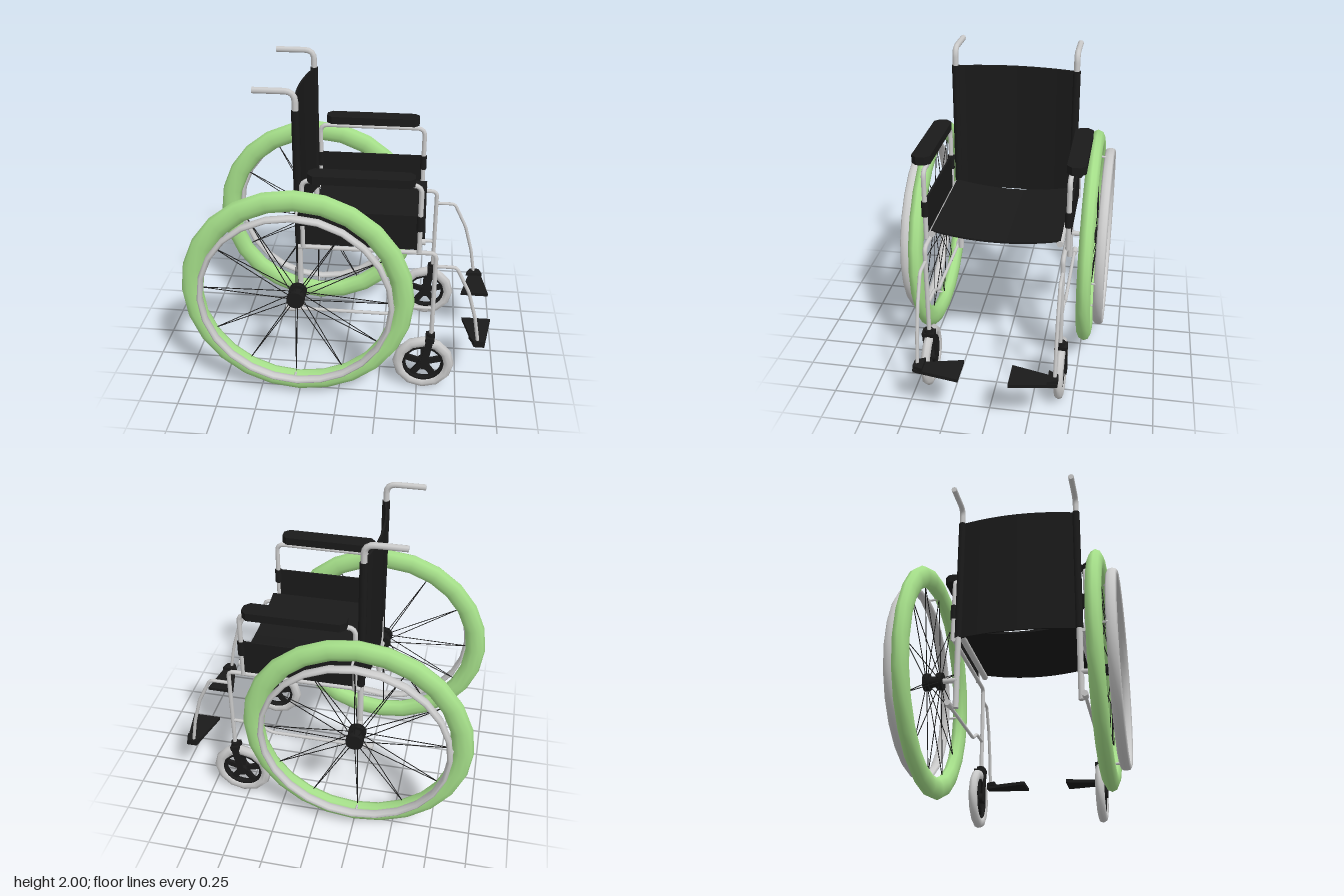
import * as THREE from 'three';

const grey = new THREE.MeshStandardMaterial({ color: 0xcccccc });
const black = new THREE.MeshStandardMaterial({ color: 0x1a1a1a });
const green = new THREE.MeshStandardMaterial({ color: 0xa6e08a });
const V = (x, y, z) => new THREE.Vector3(x, y, z);

function add(parent, name, geo, mat, x = 0, y = 0, z = 0) {
  const m = new THREE.Mesh(geo, mat);
  m.name = name;
  m.position.set(x, y, z);
  parent.add(m);
  return m;
}

// straight round bar between two points
function bar(parent, name, a, b, r, mat, sides = 8) {
  const d = b.clone().sub(a);
  const m = add(parent, name, new THREE.CylinderGeometry(r, r, d.length(), sides), mat);
  m.position.copy(a).addScaledVector(d, 0.5);
  m.quaternion.setFromUnitVectors(V(0, 1, 0), d.normalize());
  return m;
}

// bent pipe with rounded corners and closed ends
function pipe(parent, name, pts, r, bend, mat = grey) {
  const g = new THREE.Group();
  g.name = name;
  const path = new THREE.CurvePath();
  let last = pts[0];
  for (let i = 1; i < pts.length - 1; i++) {
    const p = pts[i];
    const a = p.clone().add(pts[i - 1].clone().sub(p).setLength(bend));
    const b = p.clone().add(pts[i + 1].clone().sub(p).setLength(bend));
    path.add(new THREE.LineCurve3(last, a));
    path.add(new THREE.QuadraticBezierCurve3(a, p, b));
    last = b;
  }
  const end = pts[pts.length - 1];
  path.add(new THREE.LineCurve3(last, end));
  add(g, name + 'Tube', new THREE.TubeGeometry(path, 72, r, 8), mat);
  for (const [p, q] of [[pts[0], pts[1]], [end, pts[pts.length - 2]]]) {
    bar(g, name + 'End', p, p.clone().add(q.clone().sub(p).setLength(0.006)), r, mat);
  }
  parent.add(g);
}

// plate with an outline in x and z, raised from y by h
function slab(parent, name, pts, y, h, mat) {
  const shape = new THREE.Shape(pts.map(([x, z]) => new THREE.Vector2(x, -z)));
  const geo = new THREE.ExtrudeGeometry(shape, { depth: h, bevelEnabled: false });
  return add(parent, name, geo.rotateX(-Math.PI / 2), mat, 0, y, 0);
}

// oval-section ring around the z axis
function ring(parent, name, rOut, rIn, halfWidth, sides, segs, mat, z = 0) {
  const r = (rOut - rIn) / 2;
  const geo = new THREE.TorusGeometry(rIn + r, r, sides, segs);
  return add(parent, name, geo.scale(1, 1, halfWidth / r), mat, 0, 0, z);
}

function driveWheel(s) {
  const g = new THREE.Group();
  g.name = 'driveWheel';
  g.position.set(-0.25, 0.73, 0.525 * s);
  ring(g, 'tyre', 0.715, 0.58, 0.046, 10, 24, green);
  ring(g, 'handRim', 0.598, 0.563, 0.032, 8, 24, grey, 0.088 * s);
  // hub with two flanges, and its axle
  bar(g, 'hubCore', V(0, 0, -0.055), V(0, 0, 0.055), 0.035, black, 12);
  for (const z of [-0.042, 0.042]) {
    bar(g, 'hubFlange', V(0, 0, z - 0.018), V(0, 0, z + 0.018), 0.055, black, 14);
  }
  bar(g, 'axle', V(0, 0, -0.15 * s), V(0, 0, 0), 0.018, grey);
  for (let i = 0; i < 12; i++) {
    const a = (i * 30 - 2) * Math.PI / 180, c = Math.cos(a), n = Math.sin(a);
    for (const z of [-0.042, 0.042]) {
      bar(g, 'spoke', V(c * 0.04, n * 0.04, z), V(c * 0.59, n * 0.59, 0), 0.0028, black, 5);
    }
    if (i % 3 === 0) {
      bar(g, 'handRimPost', V(c * 0.59, n * 0.59, 0.01 * s), V(c * 0.583, n * 0.583, 0.085 * s), 0.008, grey, 6);
    }
  }
  return g;
}

function caster(s) {
  const g = new THREE.Group();
  g.name = 'caster';
  g.position.set(0.535, 0.2, 0.415 * s);
  ring(g, 'casterTyre', 0.197, 0.125, 0.029, 8, 12, grey);
  ring(g, 'casterRim', 0.138, 0.112, 0.022, 6, 20, black);
  bar(g, 'casterHub', V(0, 0, -0.034), V(0, 0, 0.034), 0.035, black, 12);
  for (let i = 0; i < 5; i++) {
    const a = Math.PI / 2 + i * Math.PI * 0.4;
    const m = add(g, 'casterSpoke', new THREE.BoxGeometry(0.11, 0.038, 0.02), black,
      Math.cos(a) * 0.07, Math.sin(a) * 0.07, 0);
    m.rotation.z = a;
  }
  // raked fork
  for (const z of [-0.034, 0.034]) {
    const blade = add(g, 'forkBlade', new THREE.BoxGeometry(0.045, 0.22, 0.01), black, 0.017, 0.08, z);
    blade.rotation.z = -0.16;
  }
  const crown = add(g, 'forkCrown', new THREE.BoxGeometry(0.055, 0.03, 0.078), black, 0.036, 0.195, 0);
  crown.rotation.z = -0.16;
  bar(g, 'forkStem', V(0.04, 0.2, 0), V(0.04, 0.23, 0), 0.027, black, 10);
  return g;
}

function sideFrame(s) {
  const g = new THREE.Group();
  g.name = 'sideFrame';
  const zp = 0.382 * s, zf = 0.41 * s, za = 0.425 * s;
  // back post with push handle
  pipe(g, 'backPost', [V(-0.248, 0.55, zp), V(-0.248, 1.98, zp), V(-0.487, 1.98, zp)], 0.019, 0.06);
  bar(g, 'backrestSleeve', V(-0.248, 1.02, zp), V(-0.248, 1.87, zp), 0.024, black, 10);
  // main rails
  pipe(g, 'upperRail', [V(-0.25, 1.01, zf), V(0.578, 1.01, zf), V(0.578, 0.41, zf)], 0.014, 0.035);
  pipe(g, 'lowerRail', [V(-0.3, 0.555, zf), V(0.32, 0.555, zf), V(0.42, 0.615, zf), V(0.578, 0.615, zf)], 0.011, 0.03);
  bar(g, 'tipLever', V(-0.34, 0.555, zf), V(-0.28, 0.555, zf), 0.02, grey);
  bar(g, 'seatRail', V(-0.21, 1.07, zp), V(0.51, 1.07, zp), 0.021, grey, 10);
  // armrest
  pipe(g, 'armTube', [V(-0.218, 1.02, za), V(-0.218, 1.46, za), V(0.475, 1.46, za), V(0.475, 1.02, za)], 0.015, 0.05);
  const x0 = -0.175, x1 = 0.438, z0 = 0.397, z1 = 0.51, c = 0.032;
  slab(g, 'armPad', [[x0 + c, z0], [x1 - c, z0], [x1, z0 + c], [x1, z1 - c], [x1 - c, z1],
    [x0 + c, z1], [x0, z1 - c], [x0, z0 + c]].map(([x, z]) => [x, z * s]), 1.478, 0.05, black);
  add(g, 'sidePanel', new THREE.BoxGeometry(0.67, 0.225, 0.012), black, 0.13, 1.153, za);
  for (const x of [-0.218, 0.475]) {
    bar(g, 'panelSleeve', V(x, 1.17, za), V(x, 1.265, za), 0.022, black, 10);
  }
  // footrest
  pipe(g, 'footrestHanger', [V(0.578, 0.92, zf), V(0.705, 0.92, zf), V(0.79, 0.745, zf),
    V(0.84, 0.56, zf), V(0.873, 0.36, zf)], 0.011, 0.025);
  slab(g, 'footPlate', [[0.776, 0.147], [0.961, 0.147], [0.912, 0.43], [0.845, 0.43]].map(([x, z]) => [x, z * s]),
    0.352, 0.022, black);
  slab(g, 'footPlateClamp', [[0.815, 0.37], [0.925, 0.37], [0.905, 0.43], [0.845, 0.43]].map(([x, z]) => [x, z * s]),
    0.37, 0.025, black);
  return g;
}

// cloth section sagging between the two sides: returns [z, offset] pairs
function sling(halfWidth, sag, thick) {
  const a = [], b = [], n = 12;
  for (let i = 0; i <= n; i++) {
    const t = (i / n) * 2 - 1, d = -sag * (1 - t * t);
    a.push([t * halfWidth, d]);
    b.unshift([t * halfWidth, d - thick]);
  }
  return a.concat(b);
}

export function createModel() {
  const model = new THREE.Group();
  model.name = 'wheelchair';
  for (const s of [1, -1]) model.add(driveWheel(s), caster(s), sideFrame(s));

  slab(model, 'backrest', sling(0.385, 0.05, 0.012).map(([z, d]) => [-0.235 + d, z]), 1.02, 0.85, black);

  const seatShape = new THREE.Shape(sling(0.385, 0.042, 0.012).map(([z, d]) => new THREE.Vector2(z, 1.097 + d)));
  const seatGeo = new THREE.ExtrudeGeometry(seatShape, { depth: 0.71, bevelEnabled: false });
  add(model, 'seat', seatGeo.rotateY(Math.PI / 2), black, -0.203, 0, 0);
  return model;
}
